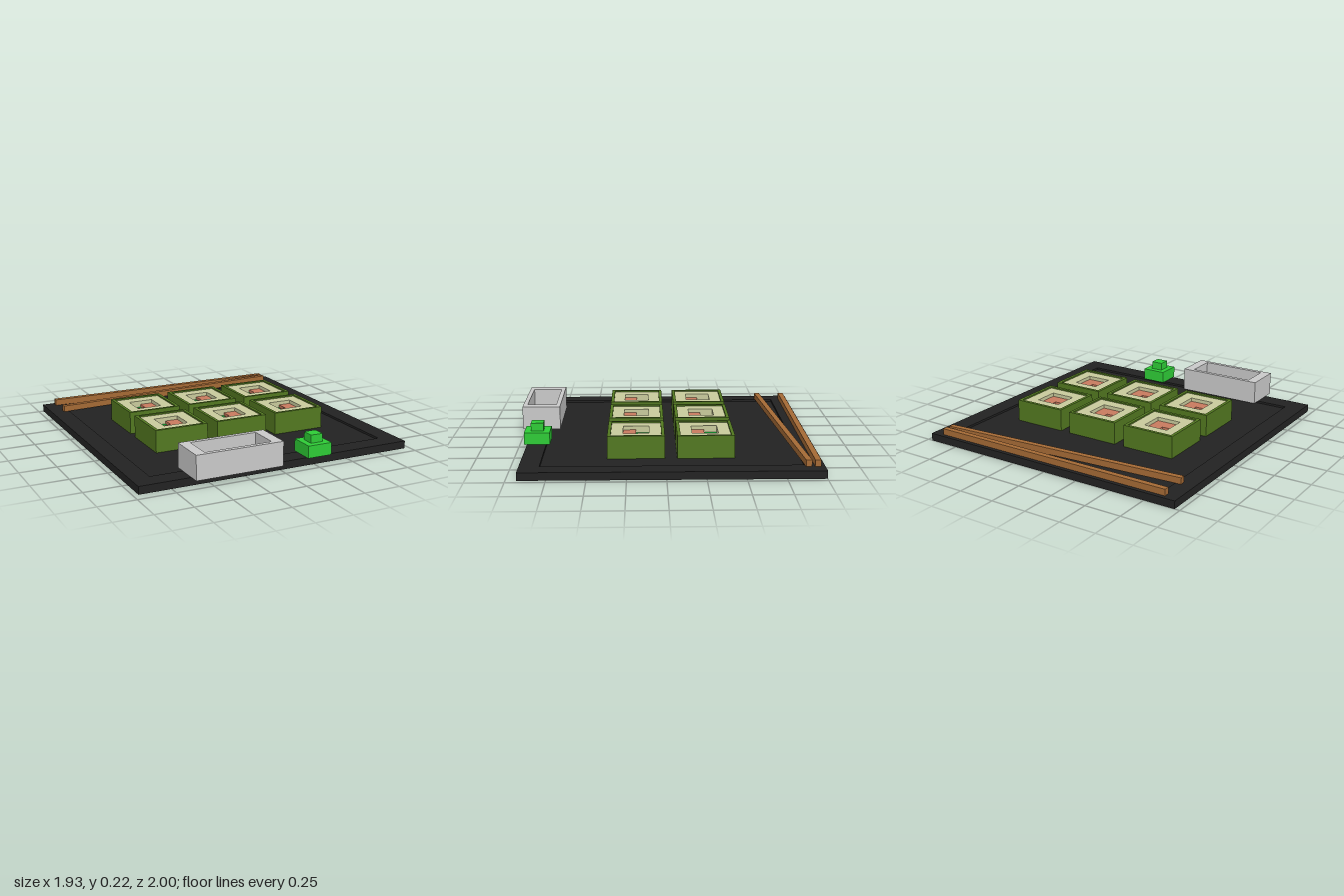
import * as THREE from 'three';

const mat = (name, color) => {
  const m = new THREE.MeshStandardMaterial({ color });
  m.name = name;
  return m;
};

export function createModel() {
  const black = mat('black lacquer', 0x222222);
  const seaweed = mat('seaweed green', 0x527820);
  const riceMat = mat('rice cream', 0xc8ca9c);
  const salmonMat = mat('salmon pink', 0xc87a5e);
  const avocadoMat = mat('avocado green', 0x0fa030);
  const wood = mat('wood brown', 0xa56a35);
  const grey = mat('light grey', 0xc9c9c9);
  const wasabiMat = mat('wasabi green', 0x2ecc36);

  const model = new THREE.Group();
  model.name = 'sushiTray';

  // Box given by its limits on each axis
  const box = (parent, name, material, [x0, x1], [y0, y1], [z0, z1]) => {
    const mesh = new THREE.Mesh(new THREE.BoxGeometry(x1 - x0, y1 - y0, z1 - z0), material);
    mesh.position.set((x0 + x1) / 2, (y0 + y1) / 2, (z0 + z1) / 2);
    mesh.name = name;
    parent.add(mesh);
    return mesh;
  };

  // Rectangular frame: outer and inner limits in x and z, extruded upwards
  const corners = ([x0, x1], [z0, z1]) =>
    [[x0, -z1], [x1, -z1], [x1, -z0], [x0, -z0]].map(p => new THREE.Vector2(...p));
  const frame = (parent, name, material, ox, oz, ix, iz, y0, y1) => {
    const shape = new THREE.Shape(corners(ox, oz));
    shape.holes.push(new THREE.Path(corners(ix, iz).reverse()));
    const geo = new THREE.ExtrudeGeometry(shape, { depth: y1 - y0, bevelEnabled: false });
    geo.rotateX(-Math.PI / 2);
    const mesh = new THREE.Mesh(geo, material);
    mesh.position.y = y0;
    mesh.name = name;
    parent.add(mesh);
  };

  // Tray with a shallow recess
  const tray = new THREE.Group();
  tray.name = 'tray';
  model.add(tray);
  box(tray, 'trayBase', black, [-0.965, 0.965], [0, 0.037], [-1, 0.93]);
  frame(tray, 'trayRim', black, [-0.965, 0.965], [-1, 0.93], [-0.84, 0.84], [-0.875, 0.8], 0.037, 0.052);

  // Six rolls: seaweed wrap, rice ring, sunken filling
  for (const x of [-0.43, 0.015, 0.46]) {
    for (const z of [-0.263, 0.192]) {
      const roll = new THREE.Group();
      roll.name = 'roll';
      roll.position.set(x, 0, z);
      model.add(roll);
      const o = [-0.187, 0.187], r = [-0.165, 0.165], s = [-0.086, 0.086];
      frame(roll, 'seaweedWrap', seaweed, o, o, r, r, 0.037, 0.19);
      frame(roll, 'rice', riceMat, r, r, s, s, 0.037, 0.18);
      // Salmon fills three quarters, avocado the back right quarter
      box(roll, 'salmonSide', salmonMat, [0, 0.086], [0.037, 0.155], s);
      box(roll, 'salmonFront', salmonMat, [-0.086, 0], [0.037, 0.155], [0, 0.086]);
      box(roll, 'avocado', avocadoMat, [-0.086, 0], [0.037, 0.135], [-0.086, 0]);
    }
  }

  // Chopsticks, one straight and one slanted
  box(model, 'straightChopstick', wood, [-0.882, 0.882], [0.052, 0.095], [-0.973, -0.935]);
  const slanted = box(model, 'slantedChopstick', wood, [-0.882, 0.882], [0.052, 0.095], [-0.849, -0.811]);
  slanted.rotation.y = Math.atan2(0.133, 1.764);

  // Sauce dish with dark sauce
  const dish = new THREE.Group();
  dish.name = 'sauceDish';
  model.add(dish);
  frame(dish, 'dishWall', grey, [-0.62, -0.02], [0.735, 1], [-0.55, -0.09], [0.765, 0.97], 0.052, 0.215);
  box(dish, 'sauce', black, [-0.55, -0.09], [0.053, 0.07], [0.765, 0.97]);

  // Stepped wasabi mound
  const wasabi = new THREE.Group();
  wasabi.name = 'wasabi';
  model.add(wasabi);
  box(wasabi, 'wasabiBase', wasabiMat, [0.195, 0.367], [0.052, 0.135], [0.775, 0.948]);
  box(wasabi, 'wasabiTop', wasabiMat, [0.238, 0.323], [0.135, 0.19], [0.82, 0.905]);

  return model;
}
